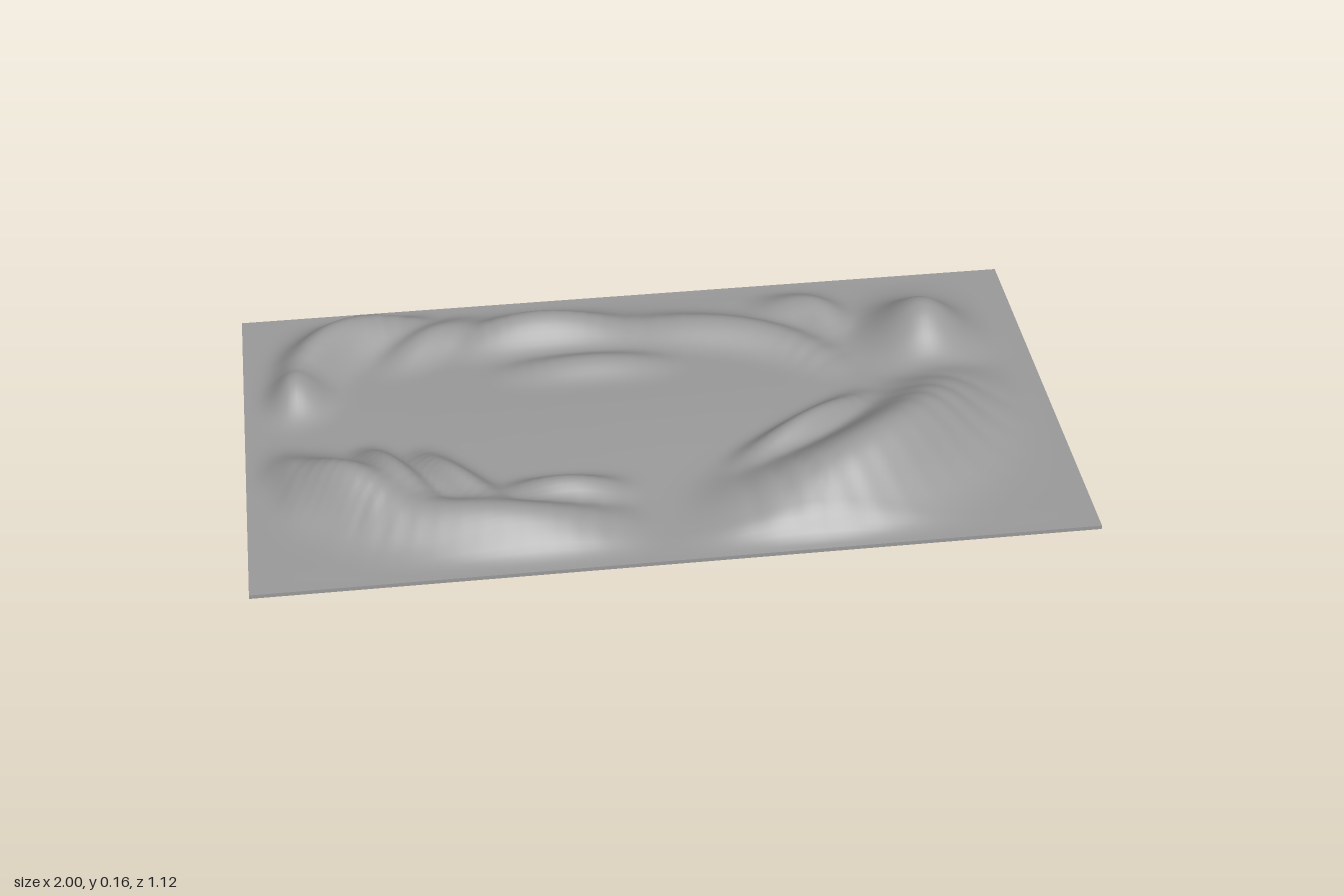
import * as THREE from 'three';

const WIDTH = 2, DEPTH = 1.12, BASE = 0.01, STEPS = 12;

// A ridge follows a curved crest; it is highest halfway and sinks to 40% at both ends
function ridge(height, spread, start, bend, end) {
  const [a, b, c] = [start, bend, end].map(([x, z]) => new THREE.Vector2(x, z));
  const points = new THREE.QuadraticBezierCurve(a, b, c).getPoints(STEPS);
  const heights = points.map((_, i) => height * (1 - 0.6 * (2 * i / STEPS - 1) ** 2));
  return { spread, points, heights };
}

const createRidges = () => [
  // large front hill curving round the right side
  ridge(0.148, 0.14, [0.22, 0.39], [0.56, 0.37], [0.75, 0.02]),
  // inner ridge beside the large hill
  ridge(0.08, 0.06, [0.2, 0.24], [0.36, 0.15], [0.52, 0.02]),
  // round hill at the back right
  ridge(0.123, 0.12, [0.73, -0.3], [0.73, -0.25], [0.73, -0.2]),
  // front left mound and the ridge trailing from it
  ridge(0.112, 0.095, [-0.85, 0.17], [-0.76, 0.24], [-0.62, 0.33]),
  ridge(0.085, 0.085, [-0.72, 0.33], [-0.45, 0.42], [-0.16, 0.42]),
  // spurs running inward from the front left
  ridge(0.085, 0.055, [-0.7, 0.1], [-0.66, 0.2], [-0.56, 0.32]),
  ridge(0.075, 0.06, [-0.57, 0.13], [-0.52, 0.24], [-0.4, 0.34]),
  ridge(0.06, 0.055, [-0.37, 0.28], [-0.25, 0.29], [-0.12, 0.29]),
  // shoulder at the left edge
  ridge(0.045, 0.08, [-0.98, 0.11], [-0.9, 0.13], [-0.82, 0.17]),
  // hooked ridge at the back left and the knob that ends it
  ridge(0.08, 0.075, [-0.58, -0.47], [-0.83, -0.44], [-0.87, -0.2]),
  ridge(0.068, 0.075, [-0.87, -0.22], [-0.87, -0.19], [-0.87, -0.16]),
  ridge(0.05, 0.065, [-0.6, -0.32], [-0.52, -0.4], [-0.42, -0.44]),
  // long back ridge in two runs, with a knob behind its end
  ridge(0.075, 0.075, [-0.42, -0.38], [-0.25, -0.41], [-0.03, -0.38]),
  ridge(0.06, 0.075, [-0.05, -0.38], [0.33, -0.36], [0.47, -0.17]),
  ridge(0.05, 0.065, [0.38, -0.43], [0.5, -0.43], [0.52, -0.33]),
  // low mound in the basin
  ridge(0.048, 0.065, [-0.32, -0.22], [-0.12, -0.22], [0.06, -0.21]),
  // gently raised floor
  ridge(0.022, 0.35, [-0.6, 0], [0, 0], [0.6, 0]),
];

// Height of one ridge: a smooth bell around its crest
function ridgeHeight({ spread, points, heights }, x, z) {
  let best = 0;
  for (let i = 0; i < STEPS; i++) {
    const a = points[i], b = points[i + 1];
    const dx = b.x - a.x, dz = b.y - a.y;
    const t = THREE.MathUtils.clamp(((x - a.x) * dx + (z - a.y) * dz) / (dx * dx + dz * dz), 0, 1);
    const d = Math.hypot(x - a.x - dx * t, z - a.y - dz * t) / spread;
    best = Math.max(best, THREE.MathUtils.lerp(heights[i], heights[i + 1], t) * Math.exp(-d * d));
  }
  return best;
}

// Blend the ridges softly and fade them out at the slab's border
function terrainHeight(ridges, x, z) {
  let sum = 0;
  for (const r of ridges) sum += ridgeHeight(r, x, z) ** 2.5;
  const fade = THREE.MathUtils.smoothstep(WIDTH / 2 - Math.abs(x), 0, 0.12)
    * THREE.MathUtils.smoothstep(DEPTH / 2 - Math.abs(z), 0, 0.08);
  return BASE + sum ** 0.4 * fade;
}

export function createModel() {
  const group = new THREE.Group();
  group.name = 'reliefTerrain';

  // Thin slab whose top face is raised into hills
  const ridges = createRidges();
  const geometry = new THREE.BoxGeometry(WIDTH, BASE, DEPTH, 150, 1, 84);
  geometry.translate(0, BASE / 2, 0);
  const p = geometry.attributes.position;
  for (let i = 0; i < p.count; i++) {
    if (p.getY(i) > BASE / 2) p.setY(i, terrainHeight(ridges, p.getX(i), p.getZ(i)));
  }
  geometry.computeVertexNormals();

  const terrain = new THREE.Mesh(geometry, new THREE.MeshStandardMaterial({ color: 0x9a9a9a }));
  terrain.name = 'terrainSlab';
  group.add(terrain);
  return group;
}
